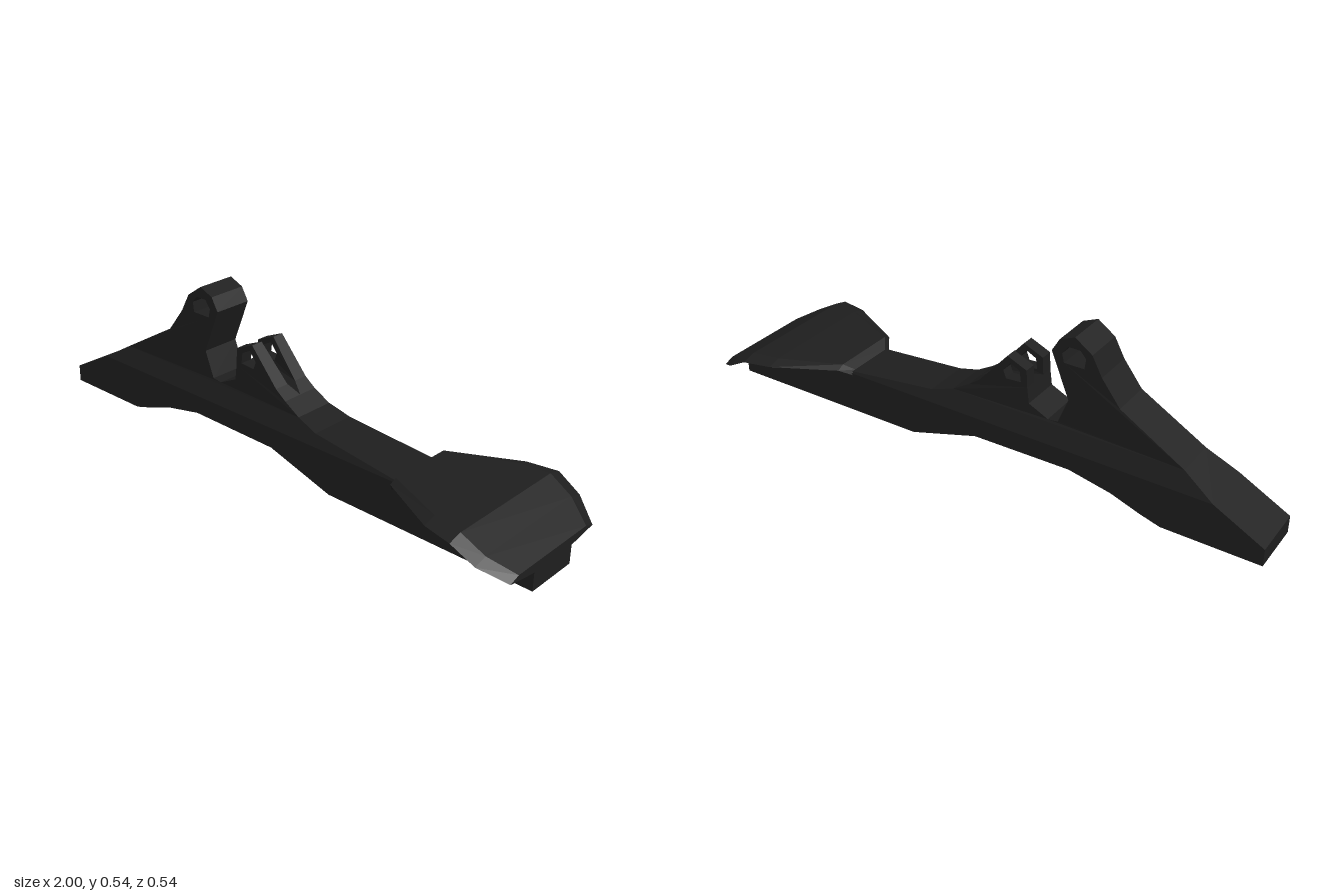
import * as THREE from 'three';

const material = new THREE.MeshStandardMaterial({ color: 0x1e1e1e, flatShading: true });
const CENTRE = -0.004;

// Prism from a side outline; span(x, y) gives the [back, front] z of every corner.
function prism(name, outline, span, holes = []) {
  const vectors = (pts) => pts.map(([x, y]) => new THREE.Vector2(x, y));
  const shape = new THREE.Shape(vectors(outline));
  holes.forEach((h) => shape.holes.push(new THREE.Path(vectors(h))));
  const geo = new THREE.ExtrudeGeometry(shape, { depth: 1, bevelEnabled: false });
  const p = geo.attributes.position;
  for (let i = 0; i < p.count; i++) {
    const [back, front] = span(p.getX(i), p.getY(i));
    p.setZ(i, CENTRE + (p.getZ(i) > 0.5 ? front : back));
  }
  geo.computeVertexNormals();
  const mesh = new THREE.Mesh(geo, material);
  mesh.name = name;
  return mesh;
}

// Joins equal-sized rings of [x, y, z] points, ordered left, top, right, bottom.
function loft(name, rings) {
  const pos = [];
  const tri = (...pts) => pts.forEach((pt) => pos.push(...pt));
  const n = rings[0].length;
  for (let i = 0; i < rings.length - 1; i++) {
    for (let j = 0; j < n; j++) {
      const k = (j + 1) % n;
      const a = rings[i][j], b = rings[i][k], c = rings[i + 1][k], d = rings[i + 1][j];
      tri(a, d, c);
      tri(a, c, b);
    }
  }
  const first = rings[0], last = rings[rings.length - 1];
  for (let j = 1; j < n - 1; j++) {
    tri(first[0], first[j], first[j + 1]);
    tri(last[0], last[j + 1], last[j]);
  }
  const geo = new THREE.BufferGeometry();
  geo.setAttribute('position', new THREE.Float32BufferAttribute(pos, 3));
  geo.computeVertexNormals();
  const mesh = new THREE.Mesh(geo, material);
  mesh.name = name;
  return mesh;
}

export function createModel() {
  const group = new THREE.Group();
  group.name = 'bracket';

  // Wide straight-sided base with an arched underside
  group.add(prism('base', [
    [-1, 0], [-0.67, 0], [-0.6, 0.02], [-0.5, 0.055], [-0.35, 0.085], [0, 0.08],
    [0.1, 0.05], [0.25, 0.005], [1, 0], [1, 0.07], [0.84, 0.15], [-0.83, 0.15], [-1, 0.06],
  ], () => [-0.095, 0.095]));

  // Sloping shoulder that narrows the base into the upright web
  const taper = (x, y) => {
    const half = THREE.MathUtils.mapLinear(y, 0.15, 0.215, 0.095, 0.072);
    return [-half, half];
  };
  group.add(prism('shoulder', [
    [-0.83, 0.15], [0.5, 0.15], [0.505, 0.157], [0.18, 0.19], [0.1, 0.215], [-0.723, 0.215],
  ], taper));

  // Upright web with the tall post and the foot of the fork
  const eye = [[-0.375, 0.44], [-0.305, 0.44], [-0.298, 0.47], [-0.318, 0.498], [-0.36, 0.498], [-0.38, 0.475]];
  group.add(prism('postWeb', [
    [-0.723, 0.215], [0.1, 0.215], [0.04, 0.25], [-0.178, 0.31], [-0.185, 0.255], [-0.255, 0.222],
    [-0.29, 0.226], [-0.325, 0.315], [-0.262, 0.47], [-0.288, 0.515], [-0.34, 0.537],
    [-0.4, 0.495], [-0.435, 0.43], [-0.5, 0.345],
  ], (x, y) => (y < 0.22 ? [-0.072, 0.072] : [-0.068, 0.07]), [eye]));

  // Two fork prongs with a groove between them that closes to a point
  const prong = [[-0.178, 0.31], [0.04, 0.25], [0, 0.28], [-0.105, 0.4], [-0.175, 0.37]];
  const pinHole = [[-0.155, 0.322], [-0.1, 0.318], [-0.09, 0.345], [-0.115, 0.378], [-0.15, 0.36]];
  const inner = (x) => (x > 0.02 ? 0 : x > -0.05 ? 0.018 : 0.027);
  group.add(prism('leftProng', prong, (x) => [inner(x), 0.07], [pinHole]));
  group.add(prism('rightProng', prong, (x) => [-0.068, -inner(x)], [pinHole]));

  // Broad paddle that bends down toward its end: x, half width, top height
  const stations = [
    [0.505, 0.1, 0.157], [0.53, 0.14, 0.185], [0.74, 0.25, 0.185],
    [0.84, 0.271, 0.182], [0.92, 0.262, 0.138], [1, 0.208, 0.093],
  ];
  group.add(loft('paddle', stations.map(([x, w, top]) => {
    const edge = top - 0.013, bottom = top - 0.03;
    return [
      [x, edge, w], [x, top, w * 0.82], [x, top, -w * 0.82],
      [x, edge, -w], [x, bottom, -0.1], [x, bottom, 0.1],
    ];
  })));

  return group;
}
